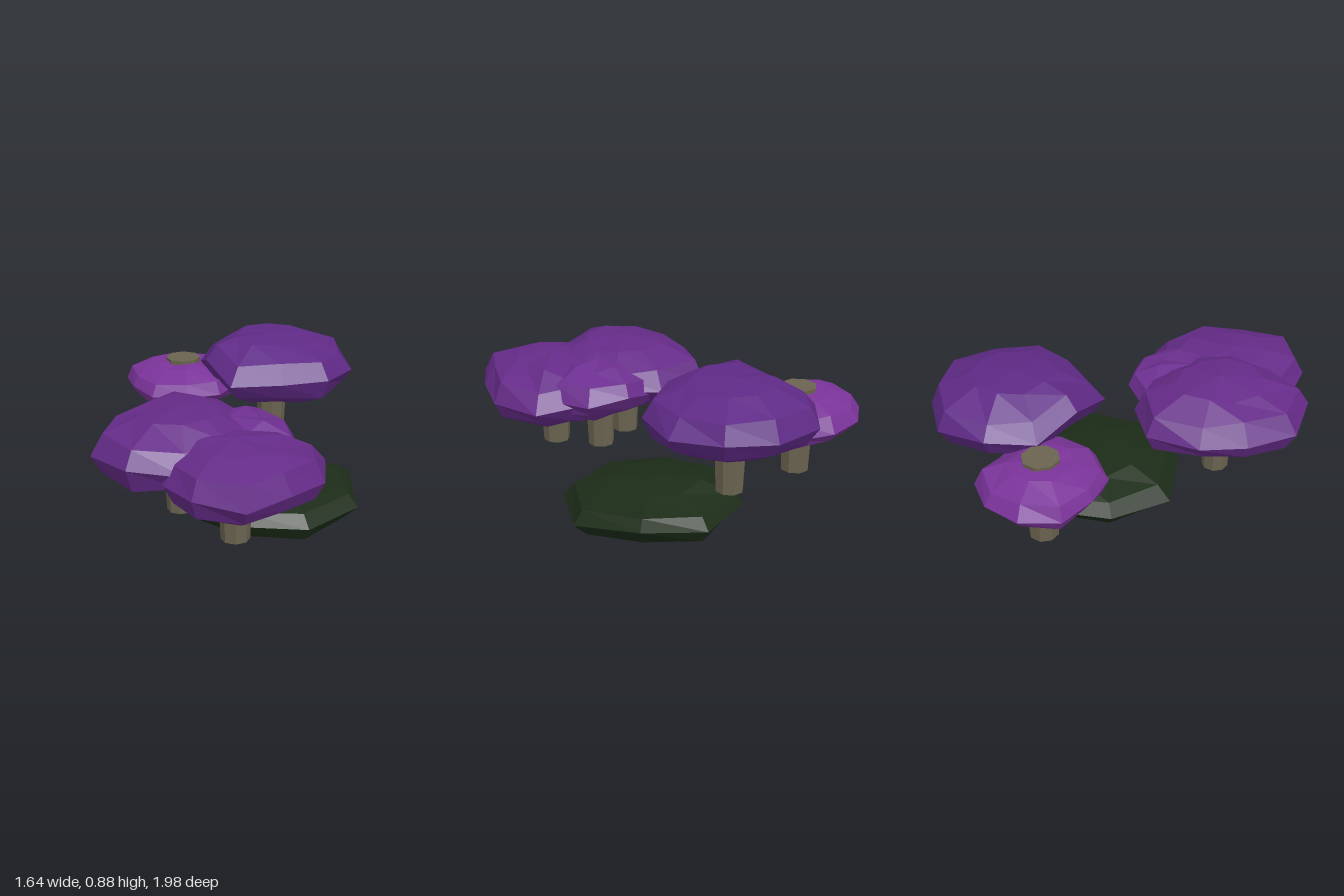
import * as THREE from 'three';

const ROWS = 6;

// Repeatable small offset in -1..1
function wobble(a, b, c) {
  const s = Math.sin(a * 12.99 + b * 78.23 + c * 37.72) * 43758.55;
  return (s - Math.floor(s)) * 2 - 1;
}

// Flattened, faceted blob. radii[k] is the reach at angle k, turning from +x towards +z;
// lift raises single columns at the rim.
function blob(name, color, { x, y, z, h, radii, lift = {}, seed }) {
  const n = radii.length;
  const geo = new THREE.SphereGeometry(1, n, ROWS);
  const pos = geo.attributes.position;
  for (let i = 0; i < pos.count; i++) {
    const row = Math.floor(i / (n + 1));
    const k = (n / 2 - (i % (n + 1)) + n) % n;
    const pole = row === 0 || row === ROWS;
    const rim = row === ROWS / 2;
    const r = radii[k] * (pole || rim ? 1 : 1 + 0.05 * wobble(seed, row, k));
    const bump = pole ? 0 : h * 0.09 * wobble(seed + 5, row, k);
    const up = (lift[k] || 0) * Math.sin((row / ROWS) * Math.PI) ** 2;
    pos.setXYZ(i, pos.getX(i) * r, pos.getY(i) * h + bump + up, pos.getZ(i) * r);
  }
  geo.computeVertexNormals();
  const mesh = new THREE.Mesh(geo, new THREE.MeshStandardMaterial({ color, flatShading: true }));
  mesh.position.set(x, y, z);
  mesh.name = name;
  return mesh;
}

// Eight-sided trunk, a little wider at the top
function trunk(x, z, bottom, top, radius) {
  const geo = new THREE.CylinderGeometry(radius, radius * 0.78, top - bottom, 8);
  geo.rotateY(Math.PI / 8);
  const mesh = new THREE.Mesh(geo, new THREE.MeshStandardMaterial({ color: 0x6b6350, flatShading: true }));
  mesh.position.set(x, (top + bottom) / 2, z);
  mesh.name = 'trunk';
  return mesh;
}

const TREES = [
  { name: 'backTree', color: 0x7a3399, x: 0.01, z: -0.69, y: 0.565, h: 0.125, foot: 0.255, top: 0.7, tr: 0.092,
    radii: [0.27, 0.31, 0.3, 0.31, 0.31, 0.29, 0.32, 0.32, 0.31, 0.31], lift: { 0: -0.04 }, seed: 1 },
  { name: 'rightTallTree', color: 0x5f2a86, x: 0.4, z: -0.39, y: 0.7, h: 0.175, foot: 0.305, top: 0.75, tr: 0.088,
    radii: [0.42, 0.43, 0.42, 0.39, 0.44, 0.38, 0.39, 0.4, 0.43, 0.4], lift: { 5: 0.08 }, seed: 2 },
  { name: 'largeTree', color: 0x652b88, x: -0.38, z: 0.23, y: 0.61, h: 0.18, foot: 0.26, top: 0.7, tr: 0.085,
    radii: [0.39, 0.39, 0.4, 0.41, 0.45, 0.44, 0.37, 0.38, 0.45, 0.41], lift: { 8: 0.02 }, seed: 3 },
  { name: 'frontTree', color: 0x652b88, x: -0.25, z: 0.58, y: 0.56, h: 0.178, foot: 0.235, top: 0.68, tr: 0.088,
    radii: [0.46, 0.41, 0.365, 0.43, 0.38, 0.35, 0.37, 0.36, 0.36, 0.4], seed: 4 },
  { name: 'middleTree', color: 0x6d2f90, x: -0.17, z: 0.325, y: 0.59, h: 0.145, foot: 0.26, top: 0.705, tr: 0.085,
    radii: [0.34, 0.33, 0.3, 0.3, 0.3, 0.3, 0.3, 0.3, 0.3, 0.32], lift: { 9: 0.04 }, seed: 5 },
];

export function createModel() {
  const model = new THREE.Group();
  model.name = 'grove';

  // Trees: canopy on a stubby trunk
  for (const t of TREES) {
    const tree = new THREE.Group();
    tree.name = t.name;
    tree.add(blob('canopy', t.color, t), trunk(t.x, t.z, t.foot, t.top, t.tr));
    model.add(tree);
  }

  // Low dark bush
  model.add(blob('bush', 0x1c2c17, {
    x: 0.2, y: 0.132, z: 0, h: 0.132, seed: 6,
    radii: [0.47, 0.48, 0.46, 0.44, 0.46, 0.45, 0.45, 0.43],
    lift: { 0: 0.045, 4: -0.03 },
  }));
  return model;
}
